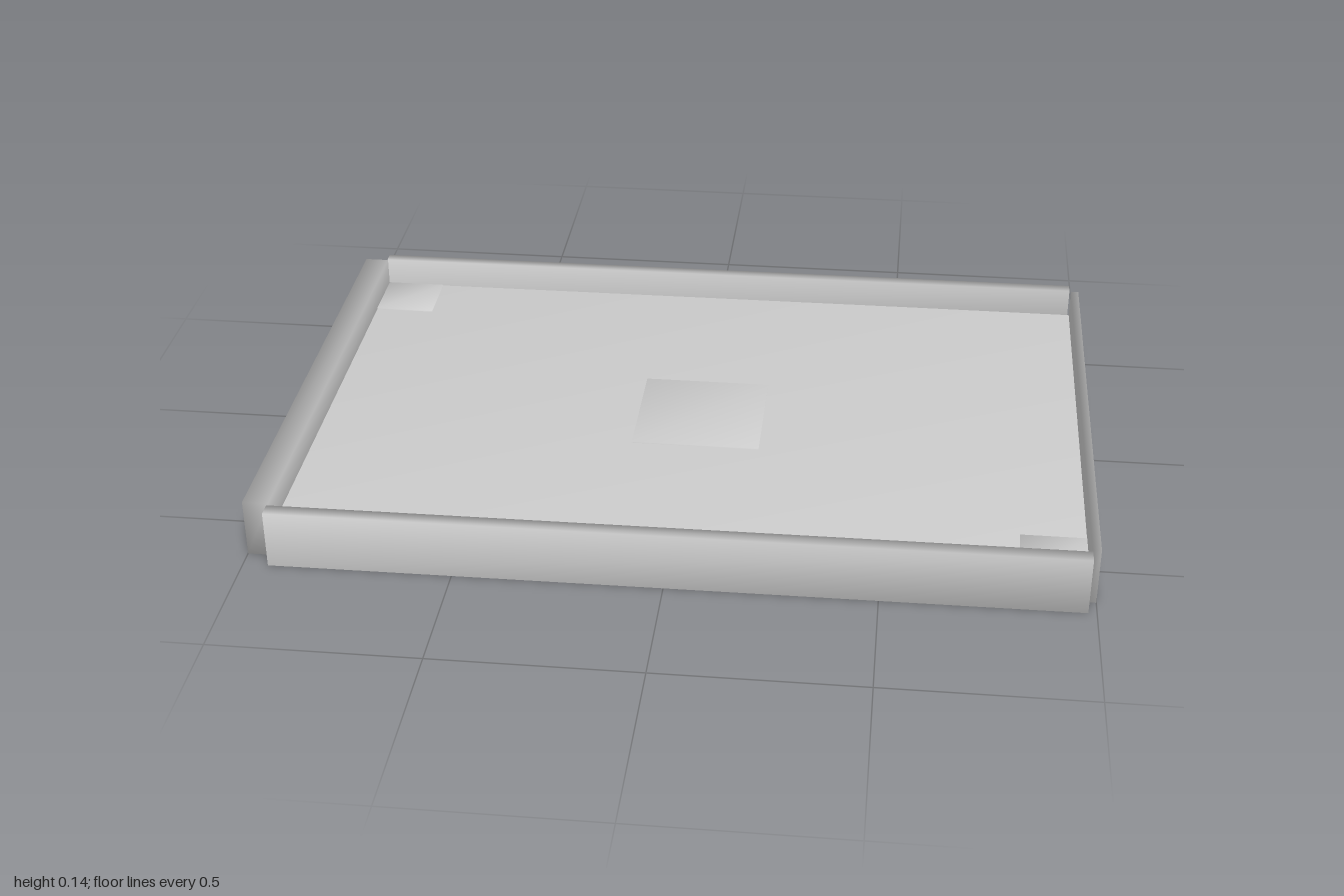
import * as THREE from 'three';
import { mergeVertices } from 'three/addons/utils/BufferGeometryUtils.js';

const material = new THREE.MeshStandardMaterial({ color: 0xcccccc });

// Box given by its limits, with corner normals shared for soft shading
function softBox(name, [x0, x1], [y0, y1], [z0, z1], turn = 0) {
  let geometry = new THREE.BoxGeometry(x1 - x0, y1 - y0, z1 - z0);
  geometry.deleteAttribute('normal');
  geometry.deleteAttribute('uv');
  geometry = mergeVertices(geometry);
  geometry.computeVertexNormals();
  const mesh = new THREE.Mesh(geometry, material);
  mesh.name = name;
  mesh.position.set((x0 + x1) / 2, (y0 + y1) / 2, (z0 + z1) / 2);
  mesh.rotation.y = turn;
  return mesh;
}

export function createModel() {
  const group = new THREE.Group();
  group.name = 'tray';
  const wallY = [0, 0.145];
  const padY = [0.03, 0.074];

  // Floor slab
  group.add(softBox('floor', [-0.94, 0.98], [0, 0.071], [-0.65, 0.64]));

  // Four rim walls, the long ones set very slightly askew
  group.add(
    softBox('frontWall', [-0.94, 0.98], wallY, [0.638, 0.675], 0.004),
    softBox('backWall', [-0.94, 0.976], wallY, [-0.679, -0.648], 0.004),
    softBox('rightWall', [-1, -0.938], wallY, [-0.642, 0.635]),
    softBox('leftWall', [0.98, 1], wallY, [-0.648, 0.628]),
  );

  // Square pads standing just proud of the floor
  group.add(
    softBox('centerPad', [-0.14, 0.18], padY, [-0.17, 0.152]),
    softBox('backCornerPad', [-0.94, -0.783], padY, [-0.643, -0.485]),
    softBox('frontCornerPad', [0.823, 0.982], padY, [0.473, 0.635]),
  );
  return group;
}
